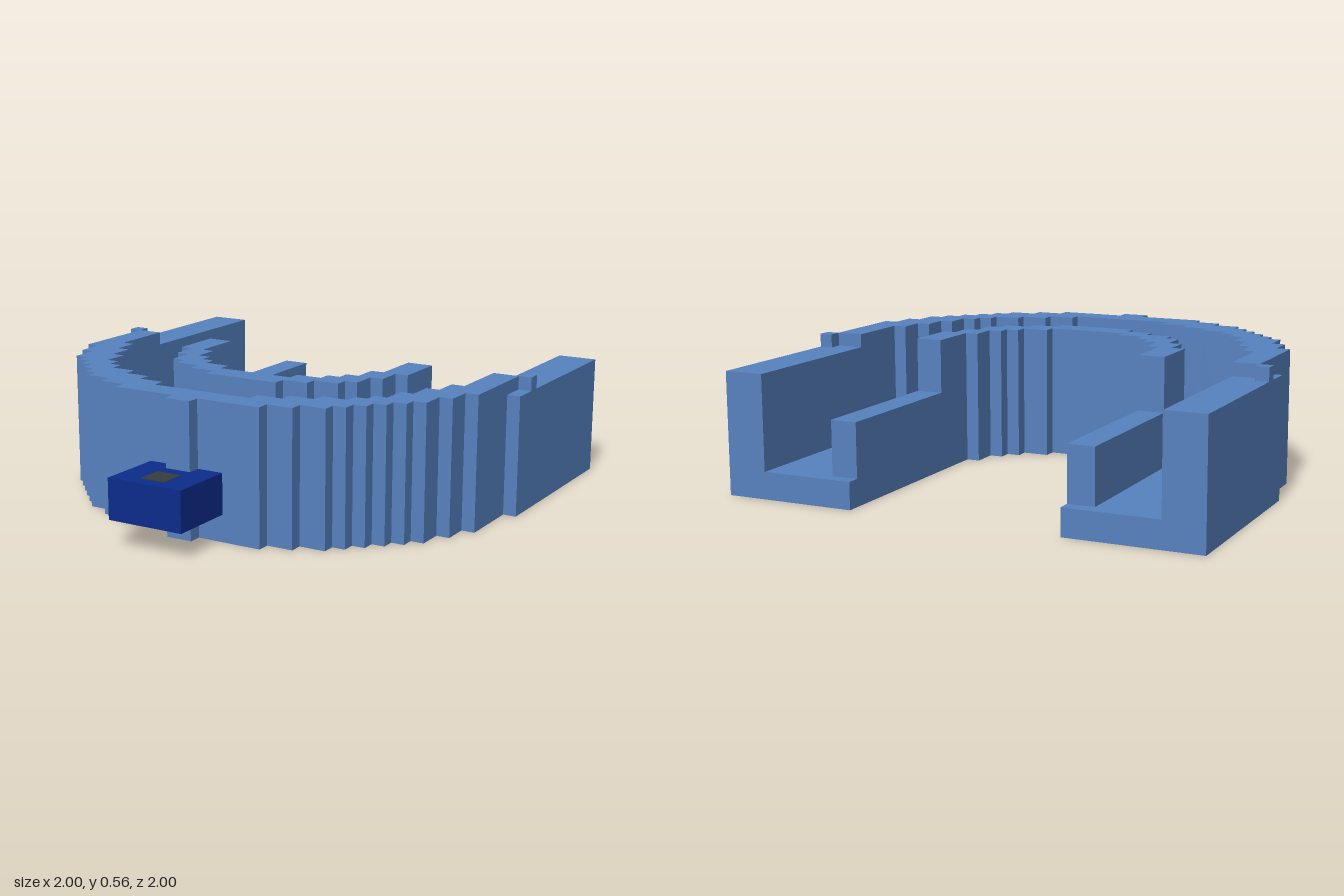
import * as THREE from 'three';

const U = 1 / 18; // one block

// Stepped half outlines on +x: [x, z where this step ends]
const OUTER = [[18, -3], [17, 2], [16, 4], [15, 6], [14, 7], [13, 8], [12, 9], [11, 10], [10, 11], [8, 12], [6, 13], [1, 14]];
const OUTER_WALL_INSIDE = [[15, 0], [14, 2], [13, 4], [12, 6], [11, 7], [10, 8], [8, 9], [6, 10], [4, 11]];
const INNER_WALL_OUTSIDE = [[10, -1], [9, 1], [8, 3], [7, 4], [5, 5], [3, 6]];
const INNER = [[8, -1], [7, 1], [6, 2], [5, 3], [3, 4]];

// Corner points of a half outline, running from the back to the front
function stairs(steps, zBack) {
  const points = [];
  let z = zBack;
  for (const [x, zEnd] of steps) {
    points.push([x, z], [x, zEnd]);
    z = zEnd;
  }
  return points;
}

export function createModel() {
  const model = new THREE.Group();
  const blue = new THREE.MeshStandardMaterial({ color: 0x5782c0 });
  blue.name = 'mid blue';
  const navy = new THREE.MeshStandardMaterial({ color: 0x0c2c8c });
  navy.name = 'dark blue';
  const grey = new THREE.MeshStandardMaterial({ color: 0x363c3e });
  grey.name = 'charcoal';

  function add(name, geometry, material) {
    const mesh = new THREE.Mesh(geometry, material);
    mesh.name = name;
    model.add(mesh);
    return mesh;
  }

  // Box given by its limits in blocks
  function block(name, x0, x1, y0, y1, z0, z1, material = blue) {
    const mesh = add(name, new THREE.BoxGeometry((x1 - x0) * U, (y1 - y0) * U, (z1 - z0) * U), material);
    mesh.position.set((x0 + x1) / 2 * U, (y0 + y1) / 2 * U, (z0 + z1) / 2 * U);
  }

  // U-shaped band between two stepped outlines
  function band(name, outer, inner, zBack, y0, y1) {
    const mirror = ([x, z]) => [-x, z];
    const o = stairs(outer, zBack);
    const i = stairs(inner, zBack);
    const outline = [...o, ...o.map(mirror).reverse(), ...i.map(mirror), ...[...i].reverse()];
    const shape = new THREE.Shape(outline.map(([x, z]) => new THREE.Vector2(x * U, -z * U)));
    const geometry = new THREE.ExtrudeGeometry(shape, { depth: (y1 - y0) * U, bevelEnabled: false });
    geometry.rotateX(-Math.PI / 2);
    geometry.translate(0, y0 * U, 0);
    add(name, geometry, blue);
  }

  // Channel floor and the two curved walls
  band('channelFloor', OUTER, INNER, -18, 0, 2);
  band('outerWall', OUTER.slice(1), OUTER_WALL_INSIDE, -5, 2, 10);
  band('innerWall', INNER_WALL_OUTSIDE, INNER, -5, 2, 10);

  // Straight arms at the back
  for (const [side, s] of [['left', 1], ['right', -1]]) {
    const armBlock = (name, a, b, ...rest) =>
      block(side + name, Math.min(a * s, b * s), Math.max(a * s, b * s), ...rest);
    armBlock('OuterArm', 15, 18, 2, 9, -18, -5);
    armBlock('ArmOverlap', 17, 18, 2, 9, -5, -3);
    armBlock('ArmStud', 17, 18, 9, 10, -6, -5);
    armBlock('InnerArm', 8, 10, 2, 6, -17, -5);
  }

  // Front coupling, left open around the wall's centre rib
  block('coupling', -3, 3, 2, 5, 14, 18, navy);
  block('couplingLeftCheek', 1, 3, 2, 5, 13, 14, navy);
  block('couplingRightCheek', -3, -1, 2, 5, 13, 14, navy);
  block('couplingSocket', -1, 1, 4.95, 5.03, 15, 17, grey);

  return model;
}
